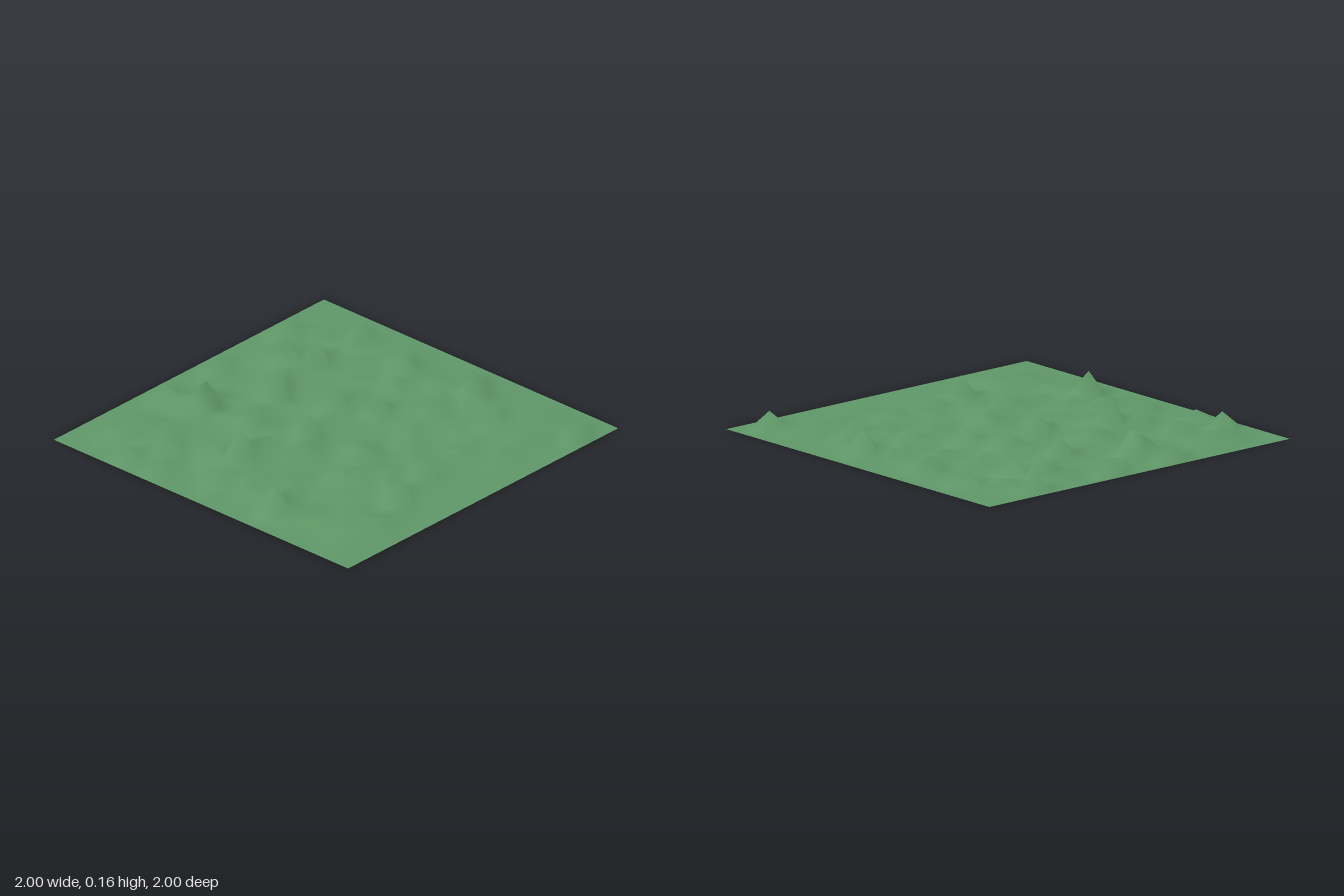
import * as THREE from 'three';

// Peaks as [x, z, height] in tenths, tenths and hundredths of a unit
const PEAKS = [
  [-5, -2, 16], [-8, 3, 12.5], [8, 2, 12.5], [-2, -7, 12.5], [4, -7, 12.5],
  [-3, 7, 11], [-1, -1, 11], [5, -6, 11], [1, -5, 11],
  [-3, -9, 8], [1, -9, 8], [6, -9, 8], [8, 9, 8], [0, 6, 8], [6, 5, 8], [-3, 4, 8],
  [-8, -1, 8], [-9, -6, 8], [8, -6, 8], [2, -2, 8], [1, -1, 5], [5, 2, 8],
  [-6, -3, 8], [-2, -4, 5], [-3, -4, 5], [-2, -3, 5], [-7, 1, 5], [-8, -8, 5],
  [-3, -7, 8], [2, 6, 5], [-6, 8, 5], [-4, 4, 3], [7, -2, 5], [3, 0, 8],
  [-7, -5, 5], [-9, -4, 5],
];
const STEPS = 20;
const ROW = STEPS + 1;

// Small seeded generator for the gentle ripple between the peaks
function seeded(seed) {
  return () => {
    seed = (seed * 16807) % 2147483647;
    return seed / 2147483647;
  };
}

function createTerrain() {
  const geometry = new THREE.PlaneGeometry(2, 2, STEPS, STEPS).rotateX(-Math.PI / 2);
  const position = geometry.attributes.position;
  const random = seeded(41);
  const heights = new Map(PEAKS.map(([x, z, h]) => [`${x},${z}`, h / 100]));

  for (let i = 0; i < position.count; i++) {
    const x = (i % ROW) - STEPS / 2;
    const z = Math.floor(i / ROW) - STEPS / 2;
    const r = random();
    // Flat rim, low ripple inside it, and the listed peaks on top
    const inside = Math.abs(x) < 9 && Math.abs(z) < 9;
    const ripple = inside ? (r > 0.85 ? 0.032 : r > 0.4 ? 0.016 : 0) : 0;
    position.setY(i, heights.get(`${x},${z}`) ?? ripple);
  }

  // Split each square along its shorter diagonal, so peaks become compact pyramids
  const index = [];
  for (let z = 0; z < STEPS; z++) {
    for (let x = 0; x < STEPS; x++) {
      const a = z * ROW + x;
      const b = a + ROW;
      const c = b + 1;
      const d = a + 1;
      const rise = (p, q) => Math.abs(position.getY(p) - position.getY(q));
      if (rise(a, c) < rise(b, d)) index.push(a, b, c, a, c, d);
      else index.push(a, b, d, b, c, d);
    }
  }
  geometry.setIndex(index);
  geometry.computeVertexNormals();
  return geometry;
}

export function createModel() {
  const model = new THREE.Group();
  model.name = 'landscape';

  // Open sheet of hilly ground
  const ground = new THREE.Mesh(
    createTerrain(),
    new THREE.MeshStandardMaterial({ color: 0x5f9768, side: THREE.DoubleSide }),
  );
  ground.name = 'hillyGround';
  model.add(ground);
  return model;
}
